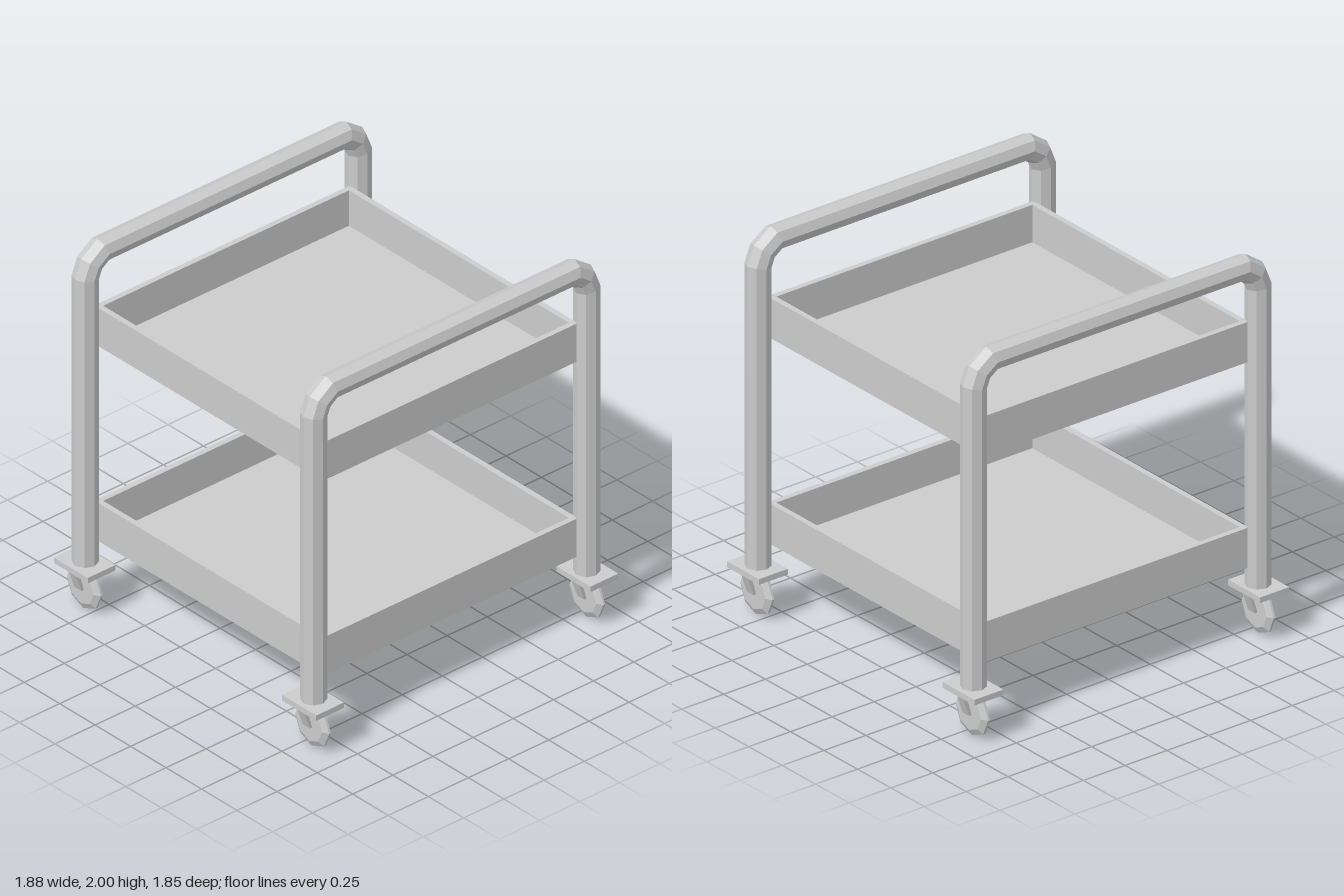
import * as THREE from 'three';

const grey = new THREE.MeshStandardMaterial({ color: 0xcccccc, flatShading: true });

function add(parent, name, geometry, x = 0, y = 0, z = 0) {
  const mesh = new THREE.Mesh(geometry, grey);
  mesh.name = name;
  mesh.position.set(x, y, z);
  parent.add(mesh);
  return mesh;
}

// Sweeps an octagon along a path in the xy plane, with mitred corners.
function sweepTube(path, radius, sides) {
  const pos = [], index = [];
  path.forEach((p, i) => {
    const before = p.clone().sub(path[Math.max(i - 1, 0)]).normalize();
    const after = path[Math.min(i + 1, path.length - 1)].clone().sub(p).normalize();
    const t = before.clone().add(after).normalize();
    const miter = 1 / t.dot(i ? before : after);
    for (let j = 0; j < sides; j++) {
      const a = (j / sides) * Math.PI * 2;
      const n = Math.cos(a) * radius * miter;
      pos.push(p.x - t.y * n, p.y + t.x * n, Math.sin(a) * radius);
      if (i < path.length - 1) {
        const k = (j + 1) % sides, r = i * sides, s = r + sides;
        index.push(r + j, r + k, s + k, r + j, s + k, s + j);
      }
    }
  });
  const g = new THREE.BufferGeometry();
  g.setAttribute('position', new THREE.Float32BufferAttribute(pos, 3));
  g.setIndex(index);
  g.computeVertexNormals();
  return g;
}

// Open tray: floor and four thin walls.
function makeTray(name, bottom) {
  const tray = new THREE.Group();
  tray.name = name;
  const w = 1.59, d = 1.61, h = 0.21, wall = 0.03, floor = 0.015;
  const shape = (a, b, Path) => new Path([
    new THREE.Vector2(-a, -b), new THREE.Vector2(a, -b),
    new THREE.Vector2(a, b), new THREE.Vector2(-a, b)]);
  const rim = shape(w / 2, d / 2, THREE.Shape);
  rim.holes.push(shape(w / 2 - wall, d / 2 - wall, THREE.Path));
  const walls = new THREE.ExtrudeGeometry(rim, { depth: h, bevelEnabled: false });
  walls.rotateX(-Math.PI / 2);
  add(tray, 'trayWalls', walls);
  add(tray, 'trayFloor', new THREE.BoxGeometry(w - 2 * wall, floor, d - 2 * wall), 0, floor / 2, 0);
  tray.position.y = bottom;
  return tray;
}

// Caster: mounting plate, two slanted fork arms and a chamfered eight-sided wheel.
function makeCaster() {
  const caster = new THREE.Group();
  caster.name = 'caster';
  add(caster, 'casterPlate', new THREE.BoxGeometry(0.173, 0.03, 0.24), 0, 0.24, 0);

  for (const s of [-1, 1]) {
    const arm = new THREE.Shape([[0.08, 0.23], [0.042, 0.12], [0.028, 0.12], [0.035, 0.15], [0.06, 0.23]]
      .map(([x, y]) => new THREE.Vector2(s * x, y)));
    const g = new THREE.ExtrudeGeometry(arm, { depth: 0.05, bevelEnabled: false });
    add(caster, 'forkArm', g, 0, 0, -0.025);
  }

  const profile = [[0, -0.023], [0.088, -0.023], [0.12, -0.006], [0.12, 0.006], [0.088, 0.023], [0, 0.023]]
    .map(([r, y]) => new THREE.Vector2(r, y));
  const wheel = new THREE.LatheGeometry(profile, 8);
  wheel.rotateZ(Math.PI / 2);
  add(caster, 'wheel', wheel, 0, 0.12, 0);
  return caster;
}

export function createModel() {
  const cart = new THREE.Group();
  cart.name = 'utilityCart';

  // Bent tube frames: two legs joined by a handle
  const half = [[0.85, 0.24], [0.85, 1.82], [0.823, 1.888], [0.755, 1.936]];
  const path = [...half.map(([x, y]) => new THREE.Vector2(-x, y)),
    ...half.slice().reverse().map(([x, y]) => new THREE.Vector2(x, y))];
  const tube = sweepTube(path, 0.064, 8);

  for (const [side, z] of [['front', 0.805], ['back', -0.805]]) {
    add(cart, side + 'Frame', tube, 0, 0, z);
    for (const x of [-0.854, 0.854]) {
      const caster = makeCaster();
      caster.position.set(x, 0, z);
      cart.add(caster);
    }
  }

  cart.add(makeTray('lowerTray', 0.355), makeTray('upperTray', 1.43));
  return cart;
}
